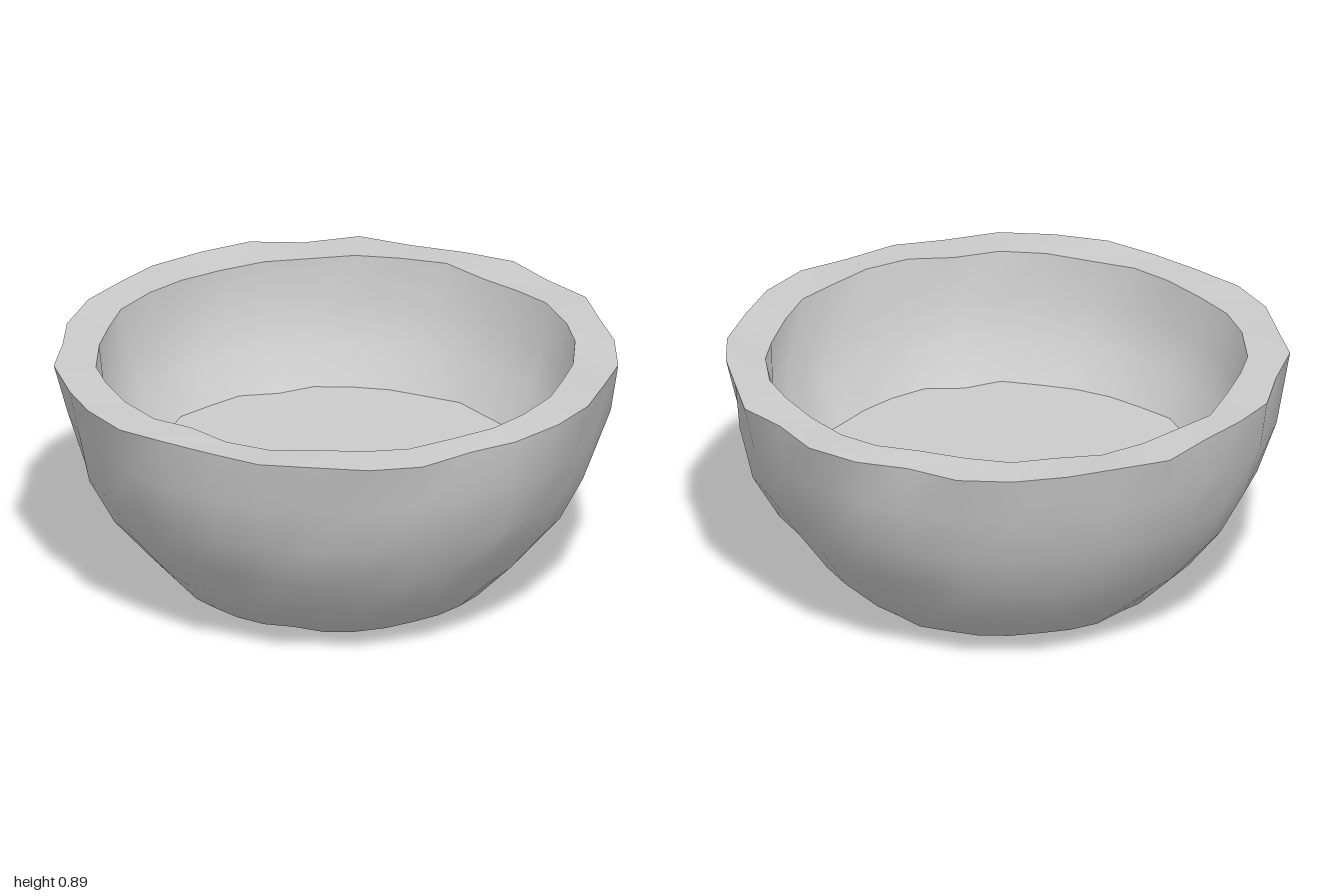
import * as THREE from 'three';

const SIDES = 32;

// Small seeded generator for the hand-shaped unevenness, -1 to 1
function makeNoise(seed) {
  let s = seed;
  return () => {
    s = (s * 16807) % 2147483647;
    return (s / 2147483647) * 2 - 1;
  };
}

// Radii in hundredths around the bowl, starting at the front and turning to its left
const RIM_OUTER = [99.5, 98, 98, 100, 100, 98.5, 100, 99, 98, 101, 97.5, 101, 99, 96.5, 101, 98.5,
  100, 99, 100.5, 97.5, 98.5, 99, 97, 100.5, 99, 100.5, 100.5, 97.5, 97.5, 100, 99.5, 101];
const RIM_INNER = [84, 85, 85.5, 84.5, 85, 83.5, 84, 85, 85.5, 85, 84, 84, 85.5, 83, 83.5, 83.5,
  83, 84, 84, 84, 85.5, 83.5, 84, 85.5, 85.5, 85.5, 84.5, 83, 85, 84.5, 84, 85];
const FLOOR_EDGE = [67, 71, 70, 69, 68.5, 71, 69, 69.5, 71, 69.5, 68.5, 70.5, 68.5, 69, 69, 69.5,
  66.5, 70, 69, 70, 67, 70, 71, 70, 67, 69, 71, 69, 69, 69, 69, 71];

// One ring of points; radius(j) and height(j) give each point
function ring(radius, height) {
  return Array.from({ length: SIDES }, (_, j) => {
    const a = (j / SIDES) * Math.PI * 2, r = radius(j);
    return new THREE.Vector3(r * Math.sin(a), height(j), r * Math.cos(a));
  });
}

// Smooth skin across a list of rings
function skin(name, rings) {
  const index = [];
  for (let i = 0; i < rings.length - 1; i++) {
    for (let j = 0; j < SIDES; j++) {
      const k = (j + 1) % SIDES;
      const a = i * SIDES + j, b = i * SIDES + k;
      index.push(a, b, b + SIDES, a, b + SIDES, a + SIDES);
    }
  }
  const geometry = new THREE.BufferGeometry().setFromPoints(rings.flat());
  geometry.setIndex(index);
  geometry.computeVertexNormals();
  const material = new THREE.MeshStandardMaterial({ color: 0xcccccc, side: THREE.DoubleSide });
  const mesh = new THREE.Mesh(geometry, material);
  mesh.name = name;
  return mesh;
}

export function createModel() {
  const group = new THREE.Group();
  group.name = 'bowl';
  const noise = makeNoise(4127);
  const uneven = (r, y, amount) =>
    ring(() => r + noise() * amount, () => y + noise() * amount * 0.4);

  const base = ring(() => 0.38, () => 0);
  const rimOuter = ring((j) => RIM_OUTER[j] / 100, () => 0.878 + noise() * 0.01);
  const rimInner = ring((j) => RIM_INNER[j] / 100, () => 0.88 + noise() * 0.01);
  const floorEdge = ring((j) => FLOOR_EDGE[j] / 100, () => 0.44);
  const centre = (y) => ring(() => 0, () => y);

  // Rounded outside, from the foot up to the rim
  const outside = [[0.56, 0.06], [0.695, 0.19], [0.81, 0.34], [0.905, 0.51], [0.96, 0.7]]
    .map(([r, y]) => uneven(r, y, 0.014));
  group.add(skin('outerWall', [base, ...outside, rimOuter]));

  // Flat, slightly wavy lip
  group.add(skin('rim', [rimOuter, rimInner]));

  // Inside wall, from the lip down to the level floor
  const inside = [[0.825, 0.72], [0.775, 0.57]].map(([r, y]) => uneven(r, y, 0.01));
  group.add(skin('innerWall', [rimInner, ...inside, floorEdge]));

  // Level floor inside and flat foot below
  group.add(skin('floor', [floorEdge, centre(0.44)]));
  group.add(skin('base', [centre(0), base]));

  return group;
}
